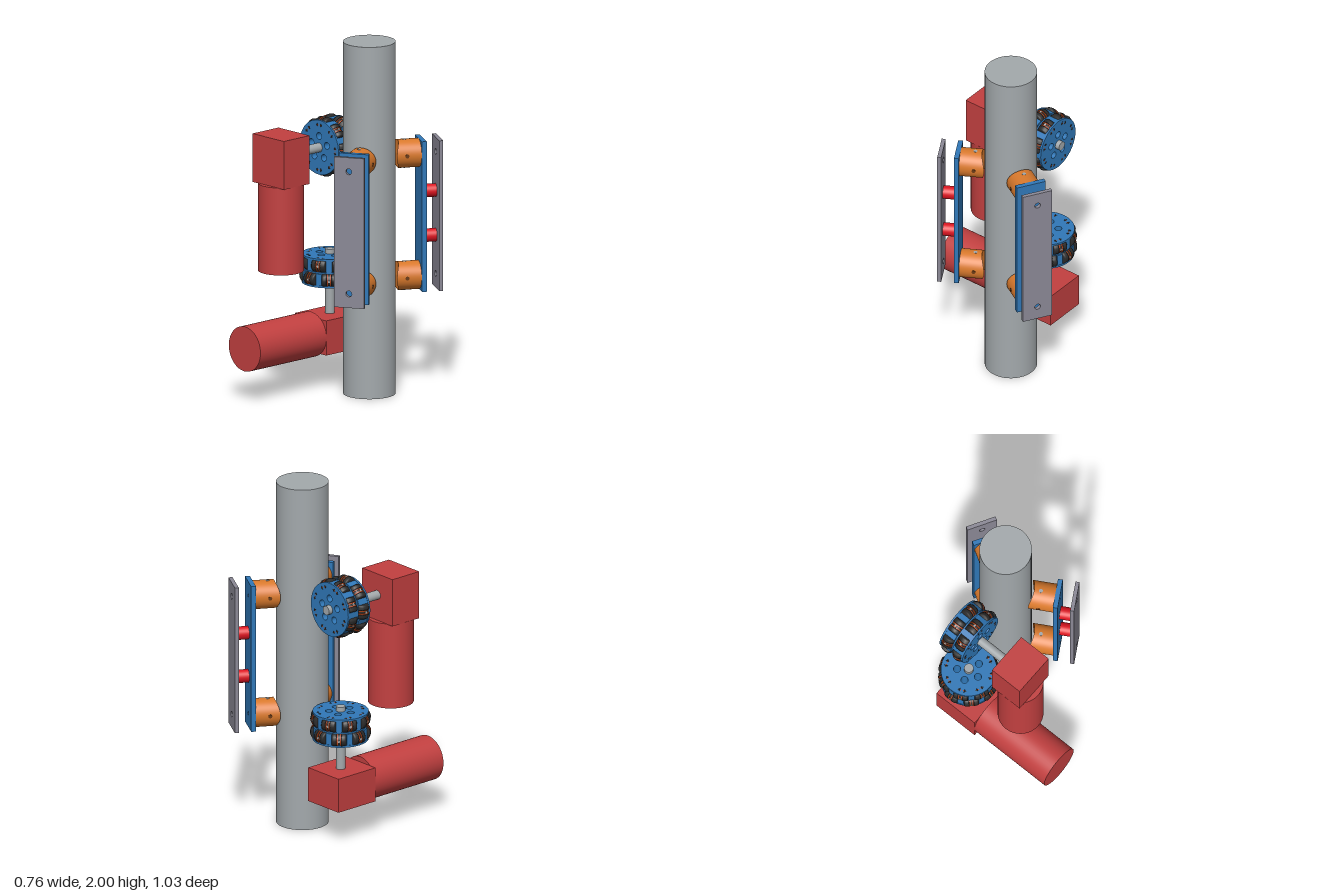
import * as THREE from 'three';

const paint = (name, color) => {
  const m = new THREE.MeshStandardMaterial({ color });
  m.name = name;
  return m;
};

export function createModel() {
  const poleGrey = paint('poleGrey', 0xa3a9ac);
  const plateGrey = paint('plateGrey', 0x8b8996);
  const motorRed = paint('motorRed', 0xc24040);
  const pinRed = paint('pinRed', 0xdc1420);
  const blue = paint('blue', 0x3078b8);
  const orange = paint('orange', 0xd9792c);
  const rubber = paint('rubber', 0x2b2b2b);
  const stripeOrange = paint('stripeOrange', 0xd0501c);
  const holeBrown = paint('holeBrown', 0x6b3a14);

  const model = new THREE.Group();
  model.name = 'poleClimber';

  const add = (parent, name, geo, mat, x = 0, y = 0, z = 0) => {
    const mesh = new THREE.Mesh(geo, mat);
    mesh.name = name;
    mesh.position.set(x, y, z);
    parent.add(mesh);
    return mesh;
  };
  const box = (w, h, d) => new THREE.BoxGeometry(w, h, d);
  const cyl = (r, h, n = 32) => new THREE.CylinderGeometry(r, r, h, n);
  const cylZ = (r, h, n) => cyl(r, h, n).rotateX(Math.PI / 2);
  const circleHole = (x, y, r) => new THREE.Path().absarc(x, y, r, 0, Math.PI * 2, true);
  const extrude = (shape, depth) =>
    new THREE.ExtrudeGeometry(shape, { depth, bevelEnabled: false, curveSegments: 24 })
      .translate(0, 0, -depth / 2);

  // Pole
  const PX = 0.106, PZ = -0.132;
  add(model, 'pole', cyl(0.145, 2, 64), poleGrey, PX, 1, PZ);

  // Motors with square gearboxes
  const WX = -0.211;
  add(model, 'upperGearbox', box(0.251, 0.275, 0.197), motorRed, WX, 1.3375, 0.238);
  add(model, 'upperMotor', cyl(0.127, 0.497, 48), motorRed, WX, 0.9535, 0.239);
  add(model, 'lowerGearbox', box(0.251, 0.197, 0.273), motorRed, WX, 0.301, -0.123);
  add(model, 'lowerMotor', cylZ(0.127, 0.502, 48), motorRed, WX, 0.303, 0.264);

  // Omni wheel, axle along local z
  const R = 0.169, ROLLER = 0.042, MID = R - ROLLER;
  const disc = (radius) => {
    const s = new THREE.Shape().absarc(0, 0, radius, 0, Math.PI * 2, false);
    for (let i = 0; i < 5; i++) {
      const a = Math.PI / 2 + i * Math.PI * 0.4;
      s.holes.push(circleHole(0.065 * Math.cos(a), 0.065 * Math.sin(a), 0.02));
    }
    return s;
  };
  // Barrel half whose outer line follows the wheel rim
  const barrel = [new THREE.Vector2(0.012, 0.012)];
  for (let i = 0; i <= 5; i++) {
    const t = 0.012 + 0.029 * i / 5;
    barrel.push(new THREE.Vector2(Math.sqrt(R * R - t * t) - MID - (i === 5 ? 0.003 : 0), t));
  }
  barrel.push(new THREE.Vector2(0.001, 0.042));
  const barrelGeo = new THREE.LatheGeometry(barrel, 20);
  const ringGeo = cyl(0.0405, 0.007, 20);
  const coreGeo = cyl(0.037, 0.012, 20);
  const screwGeo = cyl(0.007, 0.02, 10);
  const blockGeo = box(0.062, 0.034, 0.066);

  const wheel = (name, shaftEnd) => {
    const g = new THREE.Group();
    g.name = name;
    add(g, 'hub', extrude(disc(0.095), 0.15), blue);
    add(g, 'middleDisc', extrude(disc(0.145), 0.008), blue);
    for (const s of [-1, 1]) {
      add(g, 'sideDisc', extrude(disc(0.155), 0.012), blue, 0, 0, s * 0.0755);
      for (let i = 0; i < 8; i++) {
        const a = (i + (s < 0 ? 0.5 : 0)) * Math.PI / 4;
        const roller = new THREE.Group();
        roller.name = 'roller';
        roller.position.set(MID * Math.cos(a), MID * Math.sin(a), s * 0.0415);
        roller.rotation.z = a;
        for (const flip of [0, Math.PI]) {
          const half = new THREE.Group();
          half.name = 'rollerHalf';
          half.rotation.z = flip;
          add(half, 'rubberBarrel', barrelGeo, rubber);
          add(half, 'stripe', ringGeo, stripeOrange, 0, 0.0095, 0);
          roller.add(half);
        }
        add(roller, 'rollerCore', coreGeo, rubber);
        add(roller, 'screw', screwGeo, poleGrey, 0.031, 0, 0).rotation.z = Math.PI / 2;
        g.add(roller);
        // Support block between neighbouring rollers
        const b = a + Math.PI / 8;
        add(g, 'rollerSupport', blockGeo, blue, 0.121 * Math.cos(b), 0.121 * Math.sin(b), s * 0.038)
          .rotation.z = b;
      }
    }
    add(g, 'shaft', cylZ(0.026, shaftEnd + 0.108), poleGrey, 0, 0, (shaftEnd - 0.108) / 2);
    model.add(g);
    return g;
  };
  wheel('upperWheel', 0.272).position.set(WX, 1.352, PZ);
  const low = wheel('lowerWheel', 0.258);
  low.position.set(WX, 0.657, PZ);
  low.rotation.x = Math.PI / 2;

  // Clamp arms, local z pointing away from the pole
  const Y0 = 0.658, Y1 = 1.352, YM = 1.005;
  const plate = (w, thick, holeR) => {
    const h = 0.427;
    const s = new THREE.Shape([[-1, -1], [1, -1], [1, 1], [-1, 1]]
      .map(([x, y]) => new THREE.Vector2(x * w / 2, y * h)));
    for (const y of [Y0, Y1]) s.holes.push(circleHole(0, y - YM, holeR));
    return extrude(s, thick);
  };
  // Cup with its inner end hollowed to a saddle round the pole
  const cupGeo = cylZ(0.08, 0.14, 48).translate(0, 0, 0.21);
  const p = cupGeo.attributes.position;
  for (let i = 0; i < p.count; i++) {
    if (p.getZ(i) < 0.2) p.setZ(i, Math.sqrt(0.16 ** 2 - p.getX(i) ** 2));
  }
  cupGeo.computeVertexNormals();

  for (const [name, angle] of [['frontClamp', Math.PI / 6], ['backClamp', Math.PI * 5 / 6]]) {
    const arm = new THREE.Group();
    arm.name = name;
    arm.position.set(PX, 0, PZ);
    arm.rotation.y = angle;
    add(arm, 'innerPlate', plate(0.17, 0.027, 0.01), blue, 0, YM, 0.292);
    add(arm, 'outerPlate', plate(0.173, 0.022, 0.017), plateGrey, 0, YM, 0.387);
    for (const y of [0.878, 1.132]) add(arm, 'spacer', cylZ(0.037, 0.076), pinRed, 0, y, 0.34);
    for (const y of [Y0, Y1]) {
      add(arm, 'cup', cupGeo, orange, 0, y, 0);
      add(arm, 'cupPin', cyl(0.011, 0.162, 16), poleGrey, 0, y, 0.197);
      add(arm, 'cupSideHole', cyl(0.011, 0.162, 16), holeBrown, 0, y, 0.197).rotation.z = Math.PI / 2;
    }
    model.add(arm);
  }
  return model;
}
